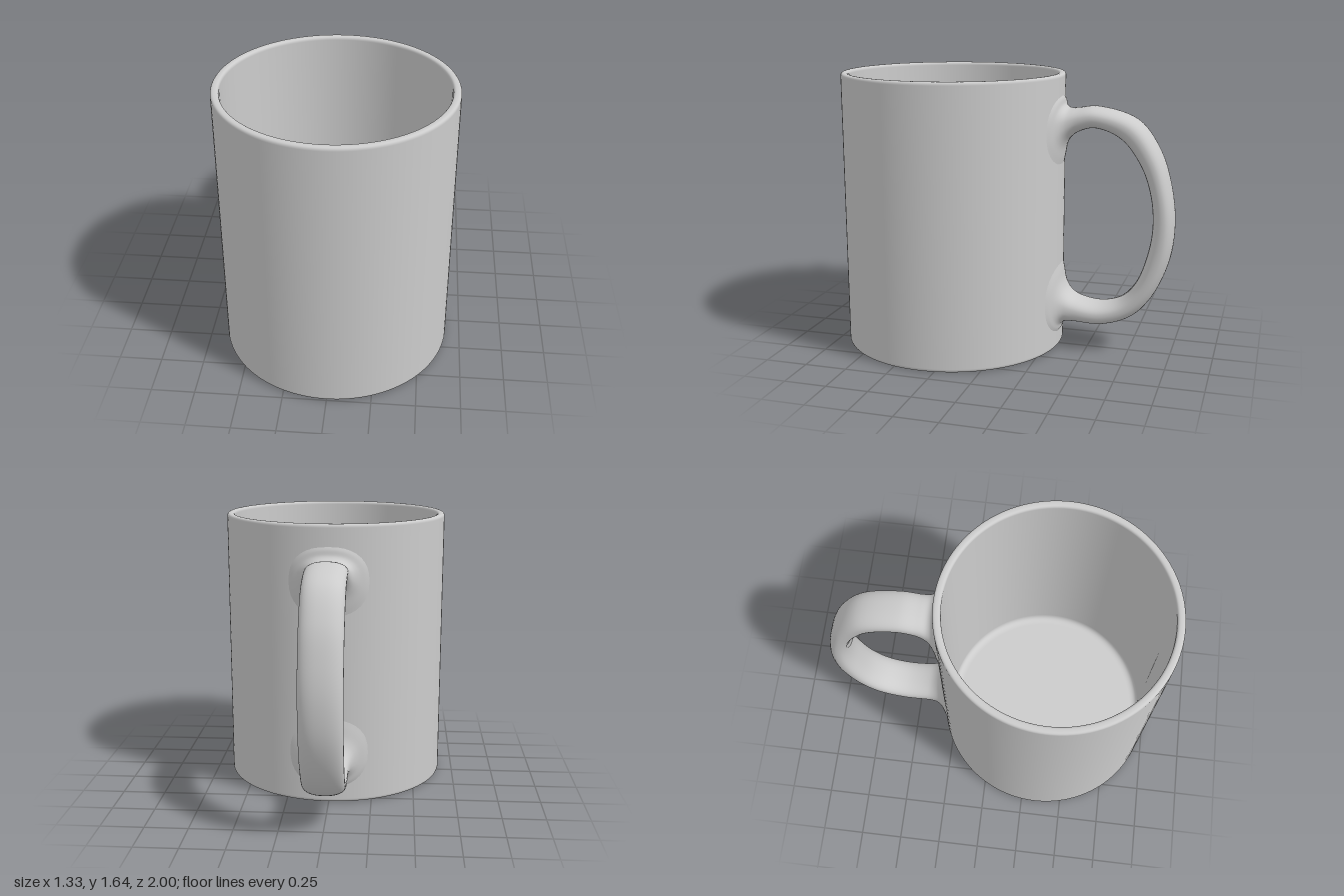
import * as THREE from 'three';

const R = 0.665, H = 1.64, CZ = 0.335; // cup radius, height and axis position

// Lathe profile through [radius, y, fillet] corners, each corner rounded
function roundedProfile(corners) {
  const path = new THREE.Path();
  const pts = corners.map(([x, y]) => new THREE.Vector2(x, y));
  path.moveTo(pts[0].x, pts[0].y);
  for (let i = 1; i < pts.length - 1; i++) {
    const p = pts[i], f = corners[i][2];
    const a = pts[i - 1].clone().sub(p).setLength(f).add(p);
    const b = pts[i + 1].clone().sub(p).setLength(f).add(p);
    path.lineTo(a.x, a.y);
    path.quadraticCurveTo(p.x, p.y, b.x, b.y);
  }
  path.lineTo(pts.at(-1).x, pts.at(-1).y);
  return path.getPoints(8);
}

// Handle stations: outer z, outer y, inner z, inner y, half width, bend to the cup wall
const STATIONS = [
  [-0.322, 1.53, -0.322, 1.08, 0.25, 1],
  [-0.337, 1.50, -0.337, 1.15, 0.21, 1],
  [-0.346, 1.465, -0.352, 1.225, 0.165, 0.8],
  [-0.37, 1.447, -0.378, 1.272, 0.135, 0.4],
  [-0.42, 1.449, -0.43, 1.312, 0.122, 0.1],
  [-0.53, 1.46, -0.53, 1.337, 0.12, 0],
  [-0.77, 1.39, -0.68, 1.28, 0.12, 0],
  [-0.905, 1.215, -0.795, 1.135, 0.12, 0],
  [-0.975, 1.00, -0.855, 0.975, 0.12, 0],
  [-1.00, 0.79, -0.875, 0.80, 0.12, 0],
  [-0.975, 0.57, -0.855, 0.63, 0.12, 0],
  [-0.88, 0.35, -0.785, 0.43, 0.12, 0],
  [-0.77, 0.23, -0.69, 0.325, 0.12, 0],
  [-0.60, 0.165, -0.57, 0.29, 0.12, 0],
  [-0.42, 0.165, -0.43, 0.315, 0.122, 0.1],
  [-0.37, 0.16, -0.378, 0.355, 0.135, 0.4],
  [-0.346, 0.14, -0.352, 0.405, 0.165, 0.8],
  [-0.337, 0.11, -0.337, 0.48, 0.21, 1],
  [-0.322, 0.08, -0.322, 0.55, 0.25, 1],
];

// Loft of soft, slightly squared ovals; the ends flare and wrap onto the cup
function handleGeometry(rings = 120, sides = 36) {
  const curve = (f) => new THREE.CatmullRomCurve3(STATIONS.map(f));
  const outer = curve((s) => new THREE.Vector3(0, s[1], s[0]));
  const inner = curve((s) => new THREE.Vector3(0, s[3], s[2]));
  const extra = curve((s, i) => new THREE.Vector3(s[4], s[5], i * 0.1));
  const soft = (v) => Math.sign(v) * Math.abs(v) ** 0.85;
  const pos = [], index = [];
  for (let i = 0; i <= rings; i++) {
    const t = i / rings;
    const o = outer.getPoint(t), n = inner.getPoint(t), e = extra.getPoint(t);
    const mid = o.clone().add(n).multiplyScalar(0.5);
    const half = o.clone().sub(n).multiplyScalar(0.5);
    for (let j = 0; j < sides; j++) {
      const a = (j / sides) * Math.PI * 2;
      const x = e.x * soft(Math.sin(a)), k = soft(Math.cos(a));
      const bend = e.y * (R - Math.sqrt(R * R - x * x));
      pos.push(x, mid.y + half.y * k, mid.z + half.z * k + bend);
      if (i < rings) {
        const p = i * sides + j, q = i * sides + ((j + 1) % sides);
        index.push(p, q, p + sides, q, q + sides, p + sides);
      }
    }
  }
  const geo = new THREE.BufferGeometry();
  geo.setAttribute('position', new THREE.Float32BufferAttribute(pos, 3));
  geo.setIndex(index);
  geo.computeVertexNormals();
  return geo;
}

export function createModel() {
  const group = new THREE.Group();
  group.name = 'mug';
  const material = new THREE.MeshStandardMaterial({ color: 0xcccccc });

  // Cup: recessed underside, foot ring, outer wall, rounded rim, inner wall, floor
  const profile = roundedProfile([
    [0, 0.025],
    [0.595, 0.025, 0.02],
    [0.615, 0, 0.012],
    [R, 0, 0.022],
    [R, H, 0.02],
    [0.62, H, 0.02],
    [0.62, 0.06, 0.05],
    [0, 0.06],
  ]);
  const cup = new THREE.Mesh(new THREE.LatheGeometry(profile, 128), material);
  cup.name = 'cup';
  cup.position.z = CZ;
  group.add(cup);

  const handle = new THREE.Mesh(handleGeometry(), material);
  handle.name = 'handle';
  group.add(handle);

  return group;
}
